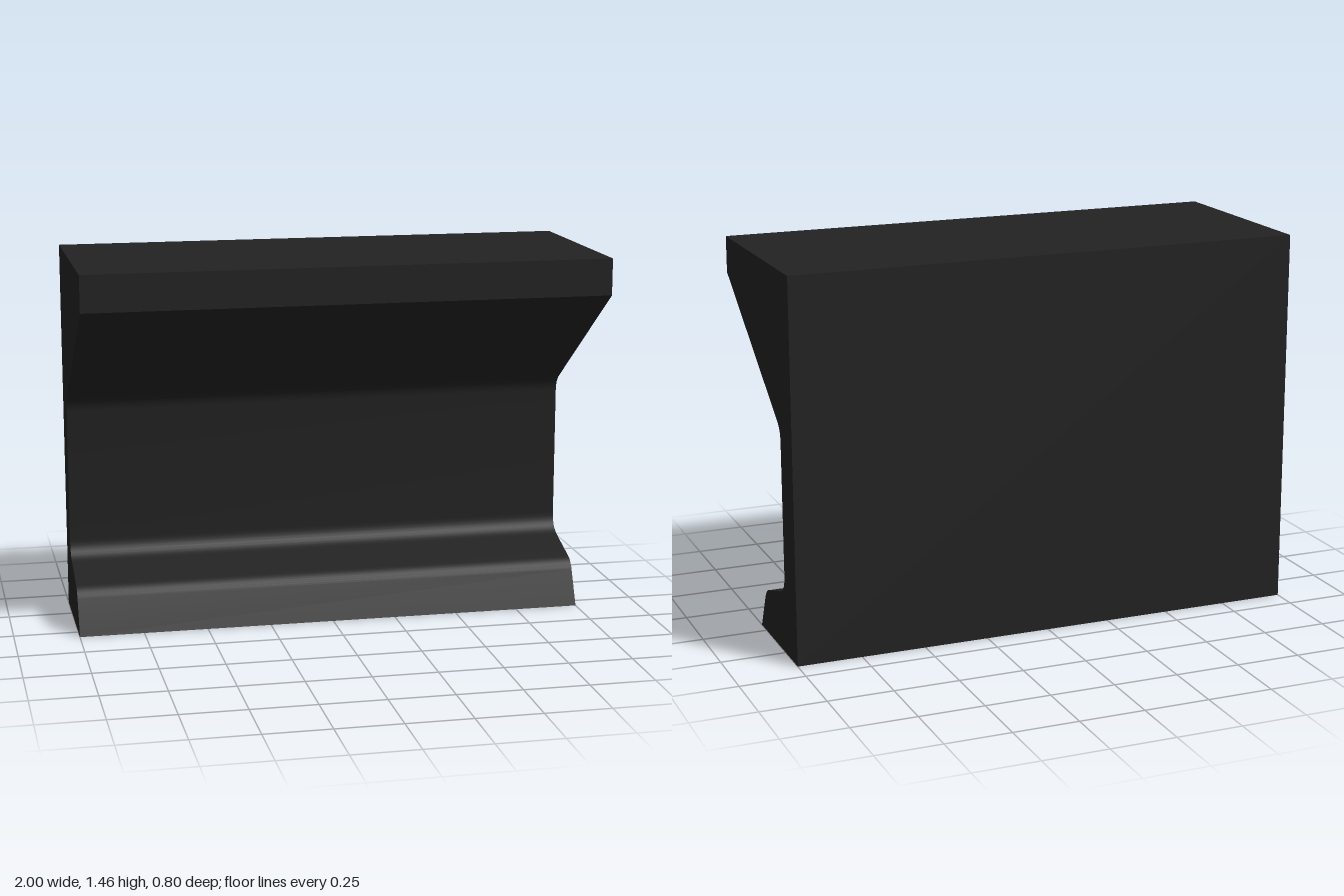
import * as THREE from 'three';
import { toCreasedNormals } from 'three/addons/utils/BufferGeometryUtils.js';

const LENGTH = 2;

// Side profile: shape x is depth (front positive), shape y is height
function barrierProfile() {
  const s = new THREE.Shape();
  s.moveTo(-0.4, 0);
  s.lineTo(0.065, 0);
  // sloped toe with rounded shoulder
  s.lineTo(0.003, 0.135);
  s.quadraticCurveTo(-0.012, 0.167, -0.045, 0.178);
  // ledge rounding into the upright web
  s.lineTo(-0.198, 0.225);
  s.quadraticCurveTo(-0.26, 0.243, -0.26, 0.307);
  s.lineTo(-0.26, 0.82);
  // web rounding into the overhanging top
  s.quadraticCurveTo(-0.26, 0.865, -0.222, 0.891);
  s.lineTo(0.4, 1.32);
  s.lineTo(0.4, 1.46);
  s.lineTo(-0.4, 1.46);
  s.closePath();
  return s;
}

export function createModel() {
  const group = new THREE.Group();
  group.name = 'profiledWallSection';

  // Profile swept along x
  const geometry = new THREE.ExtrudeGeometry(barrierProfile(), {
    depth: LENGTH, bevelEnabled: false, curveSegments: 8,
  });
  geometry.translate(0, 0, -LENGTH / 2);
  geometry.rotateY(-Math.PI / 2);

  const wall = new THREE.Mesh(
    toCreasedNormals(geometry, 0.4),
    new THREE.MeshStandardMaterial({ color: 0x222222 }),
  );
  wall.name = 'wallSection';
  group.add(wall);
  return group;
}
